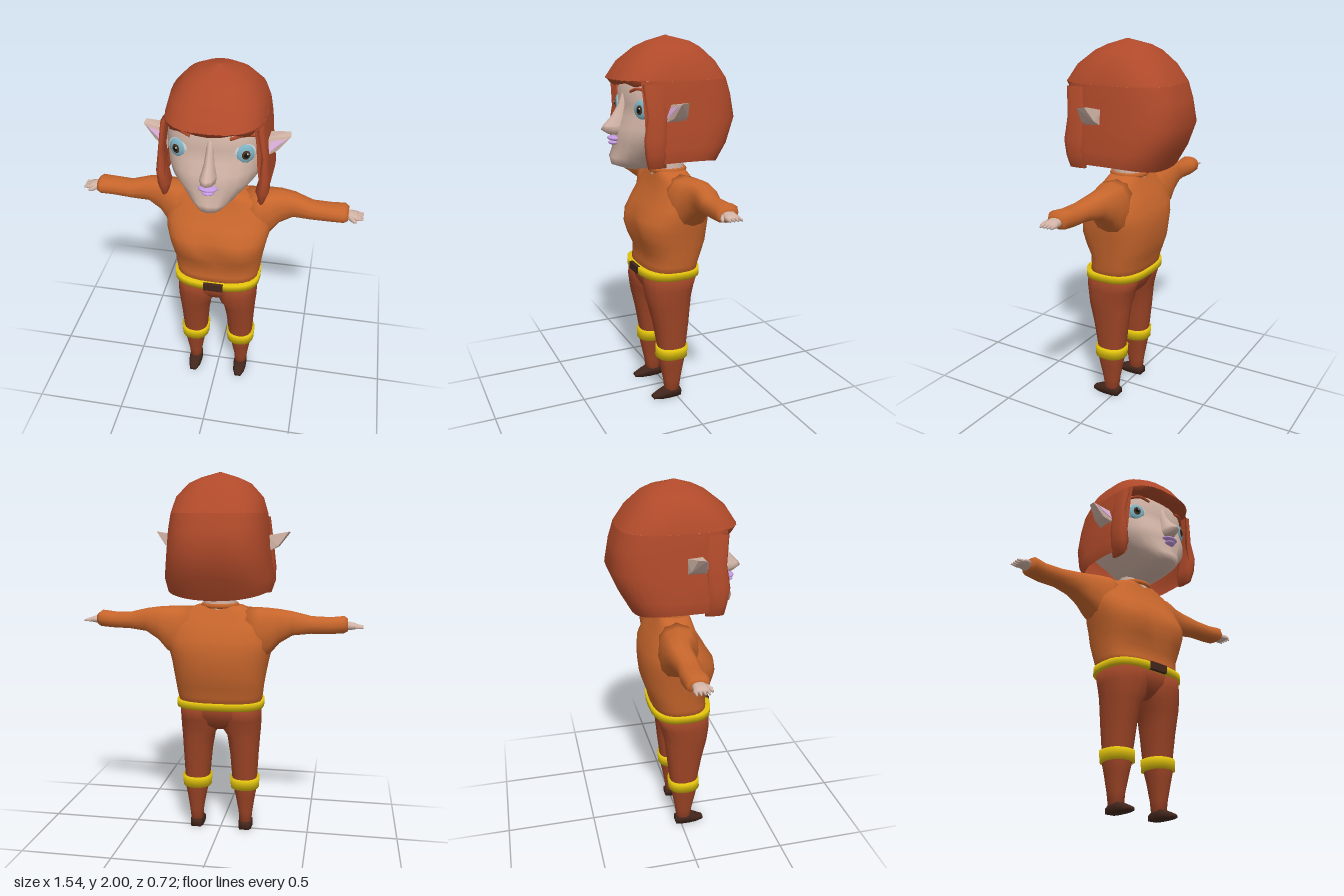
import * as THREE from 'three';
import { ConvexGeometry } from 'three/addons/geometries/ConvexGeometry.js';

const mat = (color, side = THREE.FrontSide) =>
  new THREE.MeshStandardMaterial({ color, side, roughness: 0.9 });
const M = {
  hair: mat(0xb04a2a, THREE.DoubleSide), skin: mat(0xd2b4a6), top: mat(0xc8662c),
  pants: mat(0x9c4426), gold: mat(0xe0c20c), dark: mat(0x42261c), lips: mat(0xc49ae0),
  inner: mat(0xdcb0dc), blue: mat(0x7fb4c4), iris: mat(0x4a3020), black: mat(0x101010),
  white: mat(0xf4f4f4),
};
const V = (x, y, z) => new THREE.Vector3(x, y, z);
const spow = (v, e) => Math.sign(v) * Math.abs(v) ** e;

// Indexed, smooth surface through rows of points; closed lofts get end caps
function loft(rows, closed = true) {
  const n = rows[0].length, pos = [], idx = [];
  rows.forEach(r => r.forEach(p => pos.push(p.x, p.y, p.z)));
  const cols = closed ? n : n - 1;
  for (let i = 0; i < rows.length - 1; i++) for (let j = 0; j < cols; j++) {
    const a = i * n + j, b = i * n + (j + 1) % n;
    idx.push(a, b, a + n, b, b + n, a + n);
  }
  if (closed) [0, rows.length - 1].forEach(r => {
    const c = rows[r].reduce((s, p) => s.add(p), V(0, 0, 0)).divideScalar(n);
    const k = pos.length / 3;
    pos.push(c.x, c.y, c.z);
    for (let j = 0; j < n; j++) {
      const a = r * n + j, b = r * n + (j + 1) % n;
      r ? idx.push(a, b, k) : idx.push(b, a, k);
    }
  });
  // Turn the faces outward if the enclosed volume is negative
  let vol = 0;
  const P = i => V(pos[3 * i], pos[3 * i + 1], pos[3 * i + 2]);
  for (let i = 0; i < idx.length; i += 3) vol += P(idx[i]).dot(P(idx[i + 1]).cross(P(idx[i + 2])));
  if (closed && vol < 0) idx.reverse();
  const g = new THREE.BufferGeometry();
  g.setAttribute('position', new THREE.Float32BufferAttribute(pos, 3));
  g.setIndex(idx);
  g.computeVertexNormals();
  return g;
}

// Horizontal section: height, left and right x, front and back z, centre z, squareness
function ringY(y, x0, x1, zf, zb, c = (zf + zb) / 2, e = 0.8, n = 20) {
  return Array.from({ length: n }, (_, i) => {
    const a = i / n * Math.PI * 2, k = Math.cos(a);
    return V((x0 + x1) / 2 + (x1 - x0) / 2 * spow(Math.sin(a), e), y,
      c + (k > 0 ? zf - c : c - zb) * spow(k, e));
  });
}
// Section across the x axis
const ringX = (x, yt, yb, zf, zb, n = 12) =>
  ringY(0, yb, yt, zf, zb, undefined, 0.8, n).map(p => V(x, p.x, p.z));

export function createModel() {
  const root = new THREE.Group();
  const add = (name, geo, material, parent = root) => {
    const m = new THREE.Mesh(geo, material);
    m.name = name;
    parent.add(m);
    return m;
  };
  const ball = (name, material, p, s, rotY = 0, parent = root) => {
    const m = add(name, new THREE.SphereGeometry(1, 16, 10), material, parent);
    m.position.set(...p); m.scale.set(...s); m.rotation.y = rotY;
    return m;
  };

  // Head: height, half width, front, back
  add('head', loft([
    [1.315, 0.05, 0.22, 0], [1.345, 0.095, 0.305, -0.08], [1.385, 0.14, 0.31, -0.12],
    [1.43, 0.185, 0.285, -0.15], [1.48, 0.225, 0.29, -0.2], [1.54, 0.245, 0.275, -0.25],
    [1.6, 0.25, 0.25, -0.27], [1.66, 0.25, 0.235, -0.27], [1.73, 0.248, 0.24, -0.25],
    [1.8, 0.22, 0.2, -0.2], [1.88, 0.12, 0.12, -0.12],
  ].map(([y, w, f, b]) => ringY(y, -w, w, f, b, 0, 0.8, 24))), M.skin);
  add('nose', loft([
    [1.73, 0.015, 0.235], [1.66, 0.02, 0.262], [1.6, 0.026, 0.3],
    [1.55, 0.04, 0.35], [1.53, 0.042, 0.36], [1.505, 0.035, 0.32],
  ].map(([y, w, f]) => ringY(y, -w, w, f, 0.19, undefined, 1, 10))), M.skin);
  ball('upperLip', M.lips, [0, 1.483, 0.288], [0.05, 0.014, 0.035]);
  ball('lowerLip', M.lips, [0, 1.46, 0.288], [0.032, 0.012, 0.032]);
  add('neck', new THREE.CylinderGeometry(0.085, 0.095, 0.2, 16), M.skin).position.set(0, 1.33, -0.015);

  // Eyes, brows and ears
  for (const s of [1, -1]) {
    const eye = new THREE.Group();
    eye.name = s > 0 ? 'leftEye' : 'rightEye';
    eye.position.set(s * 0.163, 1.642, 0.195);
    eye.rotation.y = s * 0.42;
    root.add(eye);
    ball('eyeWhite', M.white, [0, 0, 0], [0.058, 0.05, 0.018], 0, eye);
    ball('eyeColour', M.blue, [0, 0, 0.006], [0.047, 0.05, 0.017], 0, eye);
    ball('iris', M.iris, [0, 0, 0.013], [0.026, 0.029, 0.014], 0, eye);
    ball('pupil', M.black, [0, 0, 0.019], [0.015, 0.017, 0.01], 0, eye);
    ball('glint', M.white, [0.006, 0.008, 0.027], [0.005, 0.005, 0.004], 0, eye);
    const brow = new THREE.CatmullRomCurve3([
      V(s * 0.095, 1.728, 0.23), V(s * 0.15, 1.745, 0.215), V(s * 0.205, 1.732, 0.175)]);
    add('eyebrow', new THREE.TubeGeometry(brow, 8, 0.008, 6), M.hair);
    add('ear', new ConvexGeometry([
      V(s * 0.24, 1.575, 0.11), V(s * 0.24, 1.575, 0), V(s * 0.25, 1.67, 0.08), V(s * 0.25, 1.665, 0),
      V(s * 0.31, 1.61, 0.085), V(s * 0.31, 1.615, 0.01), V(s * 0.37, 1.685, 0.07), V(s * 0.365, 1.69, 0.03),
    ]), M.skin);
    add('innerEar', new ConvexGeometry([
      V(s * 0.265, 1.605, 0.107), V(s * 0.305, 1.63, 0.092), V(s * 0.35, 1.675, 0.08),
      V(s * 0.27, 1.655, 0.09), V(s * 0.29, 1.64, 0.06)]), M.inner);
  }

  // Hair: a cap over the crown, then a skirt open at the face
  const hairArc = (y, w, f, b, a0, e = 0.7, n = 32) => Array.from({ length: n + 1 }, (_, i) => {
    const a = a0 + i / n * (2 * Math.PI - 2 * a0), k = Math.cos(a);
    return V(w * spow(Math.sin(a), e), typeof y === 'function' ? y(a) : y,
      -0.01 + (k > 0 ? f + 0.01 : -0.01 - b) * spow(k, e));
  });
  const cap = [[2, 0.002, 0.002, -0.002, 1], [1.97, 0.1, 0.1, -0.13, 0.9], [1.94, 0.165, 0.16, -0.18, 0.85],
    [1.87, 0.228, 0.25, -0.255, 0.8], [1.785, 0.25, 0.305, -0.31, 0.7]];
  add('hairCap', loft(cap.map(([y, w, f, b, e]) => hairArc(y, w, f, b, 0, e)), false), M.hair);
  const open = 0.88;
  const skirtEnd = a => 1.365 - 0.025 * Math.cos(a) ** 2 + 0.015 * Math.abs(Math.sin(a));
  add('hairSkirt', loft([
    [1.785, 0.25, 0.305, -0.31], [1.7, 0.262, 0.295, -0.337], [1.58, 0.27, 0.285, -0.36],
    [1.45, 0.288, 0.285, -0.305], [skirtEnd, 0.275, 0.28, -0.245],
  ].map(([y, w, f, b]) => hairArc(y, w, f, b, open)), false), M.hair);
  // Fringe: the cap edge turned down and back to the forehead
  const fringe = (y, w, f, wave) => Array.from({ length: 17 }, (_, i) => {
    const a = -1 + i / 8;
    return V(w * spow(Math.sin(a), 0.7), y + wave * Math.cos(a * 9), f * Math.cos(a) ** 0.7);
  });
  add('fringe', loft([fringe(1.787, 0.25, 0.304, 0), fringe(1.765, 0.25, 0.285, -0.008),
    fringe(1.77, 0.23, 0.19, 0)], false), M.hair);
  // Side locks framing the face
  for (const s of [1, -1]) add('sideLock', loft([
    [1.77, 0.215, 0.25, 0.22], [1.62, 0.24, 0.272, 0.205], [1.5, 0.235, 0.285, 0.225],
    [1.42, 0.215, 0.285, 0.215], [1.355, 0.235, 0.262, 0.2],
  ].map(([y, a, b, f]) => ringY(y, s * a, s * b, f, 0.1, undefined, 0.8, 10))), M.hair);

  // Sweater body with a two-lobed chest
  add('sweater', loft([
    [0.74, 0.225, 0.165, -0.14], [0.8, 0.238, 0.155, -0.15], [0.86, 0.245, 0.155, -0.17],
    [0.92, 0.255, 0.185, -0.19], [0.99, 0.268, 0.205, -0.197], [1.05, 0.282, 0.195, -0.2],
    [1.12, 0.29, 0.15, -0.19], [1.2, 0.27, 0.1, -0.15], [1.26, 0.22, 0.08, -0.115],
    [1.295, 0.13, 0.07, -0.1], [1.3, 0.09, 0.065, -0.095],
  ].map(([y, w, f, b]) => {
    const bust = 0.03 * Math.exp(-(((y - 0.99) / 0.07) ** 2));
    return ringY(y, -w, w, f, b, undefined, 0.75, 28).map(p => {
      if (p.z > 0.03) p.z -= bust * Math.exp(-((p.x / 0.05) ** 2));
      return p;
    });
  })), M.top);
  const collar = add('collar', new THREE.TorusGeometry(0.092, 0.014, 6, 20), M.top);
  collar.rotation.x = Math.PI / 2;
  collar.position.set(0, 1.298, -0.015);

  // Arms and hands; the right arm is swung slightly further back
  for (const s of [1, -1]) {
    const arm = new THREE.Group();
    arm.name = s > 0 ? 'leftArm' : 'rightArm';
    root.add(arm);
    const swing = x => s > 0 ? 0 : -0.035 * THREE.MathUtils.clamp((x - 0.3) / 0.3, 0, 1);
    const tube = rows => loft(rows.map(([x, t, b, f, k]) =>
      ringX(s * x, t, b, f + swing(x), k + swing(x))));
    add('sleeve', tube([
      [0.14, 1.29, 1.0, 0.08, -0.13], [0.22, 1.29, 1.0, 0.08, -0.14], [0.28, 1.288, 1.04, 0.055, -0.14],
      [0.33, 1.285, 1.1, 0.025, -0.13], [0.4, 1.275, 1.145, 0.015, -0.115], [0.5, 1.25, 1.155, 0.03, -0.085],
      [0.6, 1.248, 1.158, 0.035, -0.085], [0.67, 1.255, 1.163, 0.042, -0.082], [0.69, 1.24, 1.175, 0.03, -0.07],
    ]), M.top, arm);
    add('palm', tube([[0.67, 1.22, 1.185, 0.01, -0.045], [0.7, 1.225, 1.18, 0.018, -0.052],
      [0.73, 1.217, 1.187, 0.02, -0.052], [0.745, 1.21, 1.19, 0.015, -0.048]]), M.skin, arm);
    for (let i = 0; i < 4; i++) {
      const z = 0.013 - i * 0.02;
      add('finger', tube([[0.73, 1.21, 1.19, z + 0.009, z - 0.009],
        [0.77, 1.203, 1.193, z + 0.004, z - 0.004]]), M.skin, arm);
    }
    add('thumb', tube([[0.695, 1.215, 1.19, 0.025, 0], [0.72, 1.208, 1.185, 0.04, 0.02],
      [0.738, 1.2, 1.188, 0.04, 0.03]]), M.skin, arm);
  }

  // Belt and buckle
  add('belt', loft([0.73, 0.77].map(y => ringY(y, -0.243, 0.243, 0.185, -0.155, 0.015, 0.7, 28))), M.gold);
  add('buckle', new THREE.BoxGeometry(0.11, 0.042, 0.02), M.dark).position.set(0, 0.75, 0.181);

  // Trousers, knee bands and shoes
  add('hips', loft([[0.75, 0.222, 0.165, -0.14], [0.68, 0.222, 0.16, -0.115],
    [0.63, 0.16, 0.13, -0.09], [0.6, 0.06, 0.09, -0.05],
  ].map(([y, w, f, b]) => ringY(y, -w, w, f, b))), M.pants);
  for (const s of [1, -1]) {
    const leg = new THREE.Group();
    leg.name = s > 0 ? 'leftLeg' : 'rightLeg';
    root.add(leg);
    const col = (rows, n = 16) => loft(rows.map(([y, i, o, f, b]) =>
      ringY(y, s * i, s * o, f, b, undefined, 0.85, n)));
    add('trouserLeg', col([
      [0.74, 0, 0.228, 0.165, -0.135], [0.66, 0, 0.228, 0.168, -0.11], [0.6, 0.008, 0.226, 0.16, -0.095],
      [0.56, 0.036, 0.222, 0.152, -0.088], [0.45, 0.053, 0.215, 0.125, -0.077], [0.3, 0.066, 0.207, 0.098, -0.06],
      [0.24, 0.075, 0.205, 0.098, -0.056], [0.2, 0.085, 0.197, 0.09, -0.048], [0.1, 0.103, 0.182, 0.068, -0.03],
      [0.03, 0.108, 0.175, 0.06, -0.022],
    ]), M.pants, leg);
    add('kneeBand', col([[0.25, 0.058, 0.218, 0.11, -0.068], [0.31, 0.054, 0.222, 0.108, -0.072]], 20), M.gold, leg);
    add('shoe', loft([
      [-0.03, 0.028, 0.04], [0, 0.037, 0.052], [0.05, 0.038, 0.052], [0.09, 0.034, 0.036], [0.135, 0.018, 0.018],
    ].map(([z, w, h]) => [[-w, 0], [w, 0], [w, h * 0.7], [w * 0.6, h], [-w * 0.6, h], [-w, h * 0.7]]
      .map(([x, y]) => V(s * 0.141 + x, y, z)))), M.dark, leg);
  }
  return root;
}
